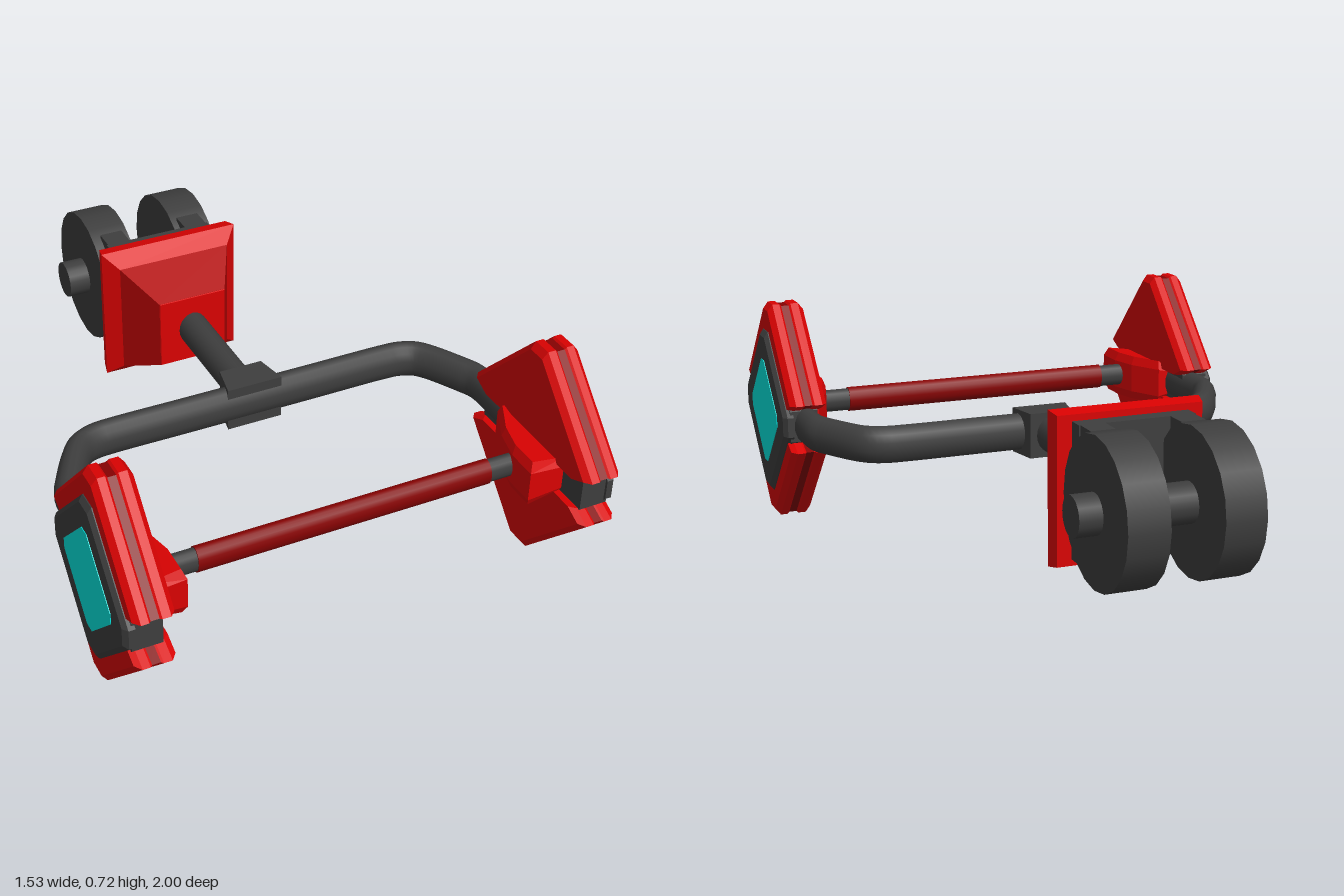
import * as THREE from 'three';

const MID = 0.36; // height of the centre line

// Flat-faced solid: a counter-clockwise outline stacked along z, levels = [z, scaleX, scaleY]
function loft(outline, levels, cx = 0, cy = 0) {
  const rings = levels.map(([w, sx, sy = sx]) =>
    outline.map(([u, v]) => [cx + (u - cx) * sx, cy + (v - cy) * sy, w]));
  const pos = [], n = outline.length;
  const tri = (a, b, c) => pos.push(...a, ...b, ...c);
  for (let k = 0; k < rings.length - 1; k++) {
    for (let i = 0; i < n; i++) {
      const j = (i + 1) % n, a = rings[k], b = rings[k + 1];
      tri(a[i], a[j], b[j]);
      tri(a[i], b[j], b[i]);
    }
  }
  const first = rings[0], last = rings[rings.length - 1];
  const flat = outline.map(([u, v]) => new THREE.Vector2(u, v));
  for (const [a, b, c] of THREE.ShapeUtils.triangulateShape(flat, [])) {
    tri(last[a], last[b], last[c]);
    tri(first[a], first[c], first[b]);
  }
  const g = new THREE.BufferGeometry();
  g.setAttribute('position', new THREE.Float32BufferAttribute(pos, 3));
  g.computeVertexNormals();
  return g;
}

const square = [[-1, -1], [1, -1], [1, 1], [-1, 1]];

// Diamond with cut corners: r = half diagonal, c = half width of each cut
const diamond = (r, c) => [[r, -c], [r, c], [c, r], [-c, r], [-r, c], [-r, -c], [-c, -r], [c, -r]];

function paint(name, color) {
  const m = new THREE.MeshStandardMaterial({ color });
  m.name = name;
  return m;
}

export function createModel() {
  const red = paint('bright red', 0xd80202);
  const deepRed = paint('deep red', 0xb00202);
  const darkRed = paint('dark red', 0x860202);
  const dark = paint('dark metal', 0x3e3e3e);
  const cyan = paint('cyan glow', 0x00ece6);

  const model = new THREE.Group();
  model.name = 'model';
  const add = (name, geometry, material, x = 0, y = MID, z = 0, parent = model) => {
    const m = new THREE.Mesh(geometry, material);
    m.name = name;
    m.position.set(x, y, z);
    parent.add(m);
    return m;
  };

  // Rear tube: straight bar, diagonal arms, ends running into the side pods
  const half = [[0.683, 0.62], [0.683, 0.5], [0.683, 0.37], [0.677, 0.325], [0.66, 0.288],
    [0.59, 0.165], [0.56, 0.135], [0.515, 0.118], [0.47, 0.114], [0.2, 0.114]];
  const path = [...half, ...half.map(([x, z]) => [-x, z]).reverse()];
  const curve = new THREE.CatmullRomCurve3(path.map(([x, z]) => new THREE.Vector3(x, 0, z)));
  add('frameTube', new THREE.TubeGeometry(curve, 120, 0.0425, 14).scale(1, 1.4, 1), dark);

  // Stem and the joint where it meets the tube
  add('stem', new THREE.CylinderGeometry(0.048, 0.048, 0.48, 20).rotateX(Math.PI / 2).scale(1, 1.2, 1), dark, 0, MID, -0.14);
  add('stemJoint', loft(square, [[0.04, 0.07, 0.072], [0.145, 0.09, 0.072]]), dark);

  // Flared head: bright rim, deeper red slopes, bright front face
  add('headRim', loft(square, [[-0.56, 0.225, 0.222], [-0.515, 0.235, 0.231], [-0.47, 0.19, 0.187]]), red);
  add('headSlopes', loft(square, [[-0.47, 0.19, 0.187], [-0.326, 0.115, 0.117]]), deepRed);
  add('headFace', loft(square, [[-0.327, 0.115, 0.117], [-0.323, 0.113, 0.115]]), red);

  // Fork, axle and wheels
  add('forkBase', new THREE.BoxGeometry(0.36, 0.405, 0.06), dark, 0, MID, -0.58);
  add('axle', new THREE.CylinderGeometry(0.06, 0.06, 0.55, 20).rotateZ(Math.PI / 2), dark, 0, MID, -0.78);
  for (const s of [-1, 1]) {
    add('forkProng', new THREE.BoxGeometry(0.075, 0.405, 0.13), dark, s * 0.1375, MID, -0.615);
    add('wheel', new THREE.CylinderGeometry(0.22, 0.22, 0.125, 20).rotateZ(Math.PI / 2), dark, s * 0.1425, MID, -0.78);
  }

  // Front bar: dark red sleeve over a dark rod
  const rod = (r, len) => new THREE.CylinderGeometry(r, r, len, 16).rotateZ(Math.PI / 2).scale(1, 1.35, 1);
  add('frontRod', rod(0.028, 1.16), dark, 0, MID, 0.737);
  add('frontSleeve', rod(0.031, 0.93), darkRed, 0, MID, 0.737);

  // Side pod parts, stacked outwards along x
  const shellOutline = [[-0.25, 0.05], [0.25, 0.05], [0.308, 0.077], [0.032, 0.358], [-0.032, 0.358], [-0.308, 0.077]];
  const shellPart = (levels) => loft(shellOutline, levels, 0, 0.05).rotateY(Math.PI / 2);
  const shellParts = [
    ['innerShell', shellPart([[0.628, 0.93], [0.645, 1], [0.67, 1], [0.676, 0.98]]), red],
    ['shellGroove', shellPart([[0.674, 0.98], [0.703, 0.98]]), darkRed],
    ['outerShell', shellPart([[0.701, 0.98], [0.707, 1], [0.73, 1], [0.747, 0.93]]), red],
  ];
  const core = loft(diamond(0.26, 0.05), [[0.65, 1], [0.74, 1]]).rotateY(Math.PI / 2);
  const plate = loft(diamond(0.268, 0.032), [[0.73, 1], [0.75, 1], [0.762, 0.93]]).rotateY(Math.PI / 2);
  const screen = loft(diamond(0.172, 0.018), [[0.758, 1], [0.764, 1]]).rotateY(Math.PI / 2);

  // Wedge bracket that holds the front bar, shorter where it enters the pod
  const bracket = loft(
    [[0.66, -0.55], [0.615, -0.55], [0.56, -0.66], [0.537, -0.755], [0.537, -0.855], [0.66, -0.855]],
    [[-0.077, 0.9], [-0.048, 1], [0.048, 1], [0.077, 0.9]], 0.66, -0.7,
  ).rotateX(-Math.PI / 2);
  const p = bracket.attributes.position;
  for (let i = 0; i < p.count; i++) if (p.getX(i) > 0.64) p.setY(i, p.getY(i) * 0.78);
  bracket.computeVertexNormals();

  for (const s of [1, -1]) {
    const pod = new THREE.Group();
    pod.name = s > 0 ? 'leftPod' : 'rightPod';
    pod.scale.x = s;
    model.add(pod);
    for (const [name, geometry, material] of shellParts) {
      add(name, geometry, material, 0, MID, 0.692, pod);
      add(name, geometry, material, 0, MID, 0.692, pod).rotation.x = Math.PI;
    }
    add('podCore', core, dark, 0, MID, 0.692, pod);
    add('podPlate', plate, dark, 0, MID, 0.692, pod);
    add('podScreen', screen, cyan, 0, MID, 0.692, pod);
    add('barBracket', bracket, red, 0, MID, 0, pod);
  }
  return model;
}
